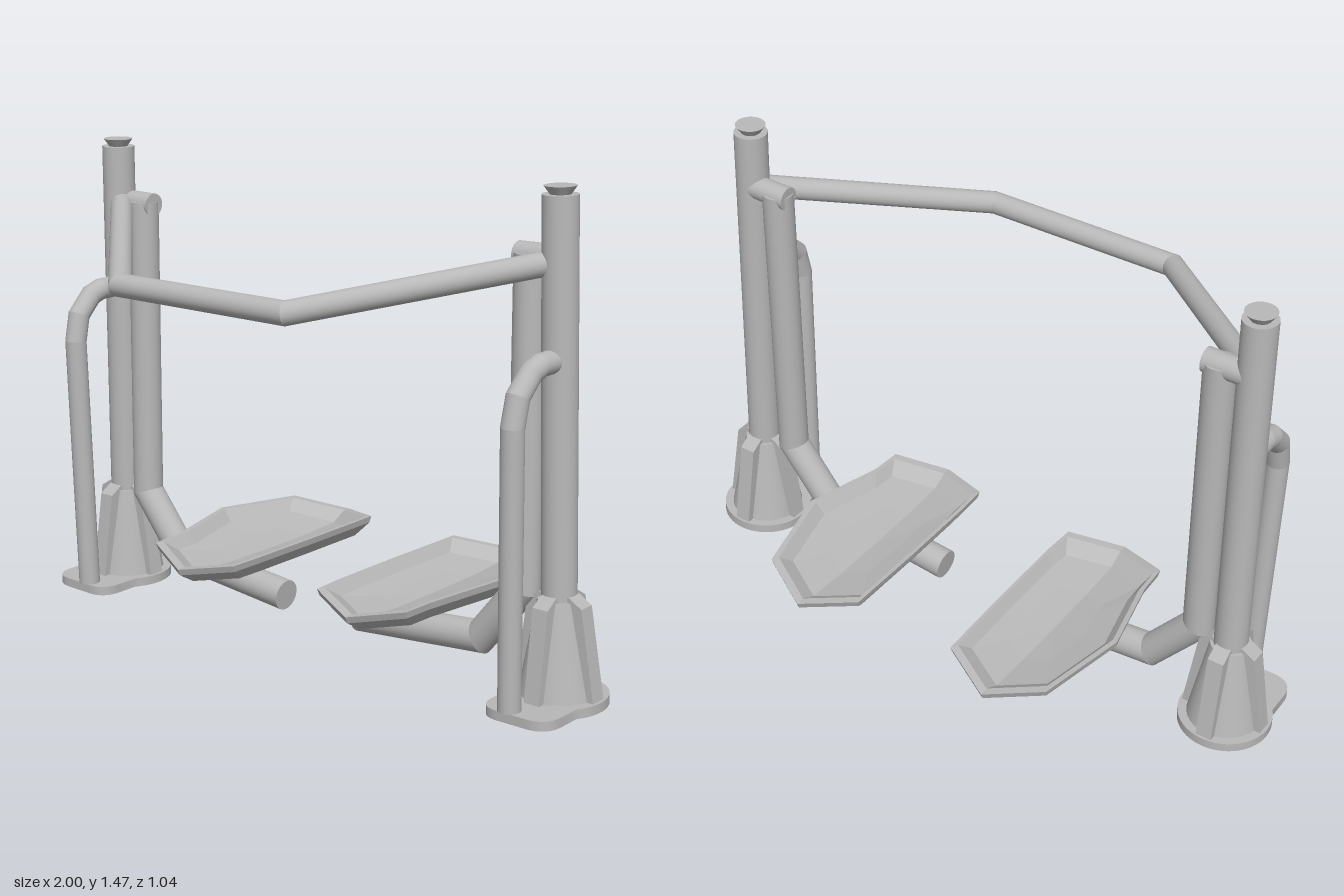
import * as THREE from 'three';
import { mergeGeometries, toCreasedNormals } from 'three/addons/utils/BufferGeometryUtils.js';

const steel = new THREE.MeshStandardMaterial({ color: 0xb8b8b8 });
steel.name = 'grey steel';

function add(parent, name, geometry) {
  const mesh = new THREE.Mesh(geometry, steel);
  mesh.name = name;
  parent.add(mesh);
  return mesh;
}

// Round pipe through points, with mitred corners
function pipe(points, radius) {
  const pts = points.map((p) => new THREE.Vector3(...p));
  const dirs = pts.slice(1).map((p, i) => p.clone().sub(pts[i]).normalize());
  const up = new THREE.Vector3(0, 1, 0);
  const v = new THREE.Vector3();
  return mergeGeometries(dirs.map((d, i) => {
    const a = pts[i], b = pts[i + 1];
    const planeA = d.clone().add(dirs[i - 1] ?? d).normalize();
    const planeB = d.clone().add(dirs[i + 1] ?? d).normalize();
    const g = new THREE.CylinderGeometry(radius, radius, a.distanceTo(b), 24);
    g.applyQuaternion(new THREE.Quaternion().setFromUnitVectors(up, d));
    const mid = a.clone().add(b).multiplyScalar(0.5);
    g.translate(mid.x, mid.y, mid.z);
    const pos = g.attributes.position;
    for (let k = 0; k < pos.count; k++) {
      v.fromBufferAttribute(pos, k);
      const atEnd = v.clone().sub(mid).dot(d) > 0;
      const joint = atEnd ? b : a, n = atEnd ? planeB : planeA;
      v.addScaledVector(d, -v.clone().sub(joint).dot(n) / d.dot(n));
      pos.setXYZ(k, v.x, v.y, v.z);
    }
    return g;
  }));
}

// Ground plate: a disc with a rounded lobe at the front
function plateGeometry() {
  const s = new THREE.Shape();
  const a = Math.atan2(0.08, 0.115);
  s.moveTo(0.115, 0.06);
  s.lineTo(0.115, 0.13);
  s.quadraticCurveTo(0.115, 0.2, 0.045, 0.2);
  s.lineTo(-0.045, 0.2);
  s.quadraticCurveTo(-0.115, 0.2, -0.115, 0.13);
  s.lineTo(-0.115, 0.06);
  s.absarc(0, -0.02, 0.14, Math.PI - a, Math.PI * 2 + a, false);
  const g = new THREE.ExtrudeGeometry(s, { depth: 0.028, bevelEnabled: false, curveSegments: 28 });
  g.rotateX(Math.PI / 2).translate(0, 0.028, 0);
  return toCreasedNormals(g, 0.6);
}

// Gusset fin standing against the post
function finGeometry() {
  const s = new THREE.Shape([[0, 0.028], [0.13, 0.028], [0.09, 0.29], [0.05, 0.315], [0, 0.315]]
    .map((p) => new THREE.Vector2(...p)));
  return new THREE.ExtrudeGeometry(s, { depth: 0.05, bevelEnabled: false }).translate(0, 0, -0.025);
}

// Faceted foot tray, built from rings of one outline; inward is +1 or -1
function trayGeometry(inward) {
  const cx = 0.525, cz = -0.13;
  const outline = [[0.525, -0.525], [0.69, -0.44], [0.695, -0.16], [0.695, 0.1], [0.69, 0.2],
    [0.525, 0.268], [0.36, 0.2], [0.355, 0.1], [0.295, -0.16], [0.36, -0.44]];
  // scale and height of each ring, from the underside round the rim to the floor
  const rings = [[0, 0.155], [0.84, 0.157], [0.98, 0.19], [1, 0.21], [0.93, 0.212], [0.8, 0.183], [0.45, 0.176], [0, 0.174]];
  const point = (ring, i) => {
    const [scale, y] = rings[ring];
    const [x, z] = outline[i % outline.length];
    const dx = (x - cx) * scale;
    return [(cx + dx) * inward, y + 0.19 * Math.abs(dx), cz + (z - cz) * scale];
  };
  const out = [];
  const tri = (a, b, c) => out.push(...a, ...(inward > 0 ? [...b, ...c] : [...c, ...b]));
  for (let r = 0; r < rings.length - 1; r++) {
    for (let i = 0; i < outline.length; i++) {
      const a = point(r, i), b = point(r, i + 1), c = point(r + 1, i + 1), d = point(r + 1, i);
      if (rings[r][0] > 0) tri(a, c, b);
      if (rings[r + 1][0] > 0) tri(a, d, c);
      else tri(a, d, b);
    }
  }
  const g = new THREE.BufferGeometry();
  g.setAttribute('position', new THREE.Float32BufferAttribute(out, 3));
  g.computeVertexNormals();
  return g;
}

// One station, with the post on its own x = 0
function station(inward) {
  const g = new THREE.Group();
  const zc = -0.022;
  add(g, 'groundPlate', plateGeometry());
  add(g, 'post', new THREE.CylinderGeometry(0.05, 0.05, 1.385, 32)).position.set(0, 0.7175, zc);
  add(g, 'postCap', new THREE.CylinderGeometry(0.045, 0.024, 0.03, 24)).position.set(0, 1.418, zc);
  add(g, 'baseCone', new THREE.CylinderGeometry(0.06, 0.113, 0.272, 32)).position.set(0, 0.164, zc);
  for (let i = 0; i < 4; i++) {
    const fin = add(g, 'baseFin', finGeometry());
    fin.position.z = zc;
    fin.rotation.y = i * Math.PI / 2;
  }
  const path = (pts) => pts.map(([x, y, z]) => [x * inward, y, z]);
  add(g, 'sideHandle', pipe(path([[0.025, 0.028, 0.175], [0.005, 0.82, 0.184], [0.002, 0.9, 0.165],
    [0, 0.955, 0.11], [0, 0.968, 0.07], [0, 0.968, -0.02]]), 0.033));
  add(g, 'pivotHub', pipe(path([[0, 1.237, -0.033], [0.142, 1.237, -0.033]]), 0.036));
  add(g, 'swingArm', pipe(path([[0.1, 1.245, -0.03], [0.112, 0.31, -0.012], [0.262, 0.132, -0.012],
    [0.71, 0.097, -0.012]]), 0.047));
  add(g, 'footTray', trayGeometry(inward));
  return g;
}

export function createModel() {
  const model = new THREE.Group();
  model.name = 'airWalker';

  const right = station(1);
  right.name = 'rightStation';
  right.position.x = -0.86;

  // The left station stands slightly higher and leans inward
  const left = station(-1);
  left.name = 'leftStation';
  left.position.set(0.86, 0.032, 0);
  left.rotation.z = 0.032;

  model.add(right, left);
  add(model, 'frontHandrail', pipe([[-0.85, 1.238, -0.022], [-0.325, 1.12, 0.485],
    [0.297, 1.13, 0.48], [0.815, 1.262, -0.022]], 0.034));
  return model;
}
